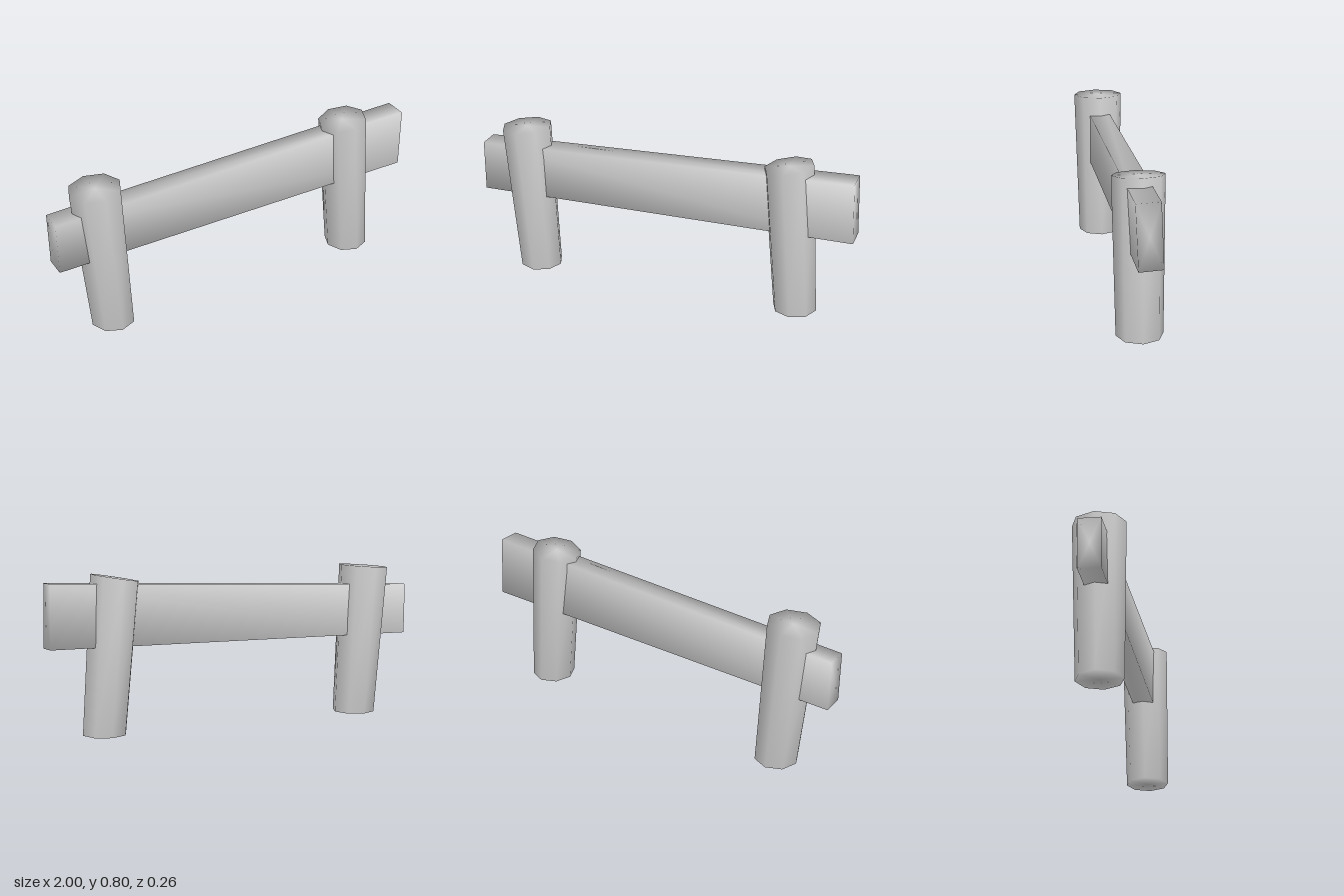
import * as THREE from 'three';

const material = new THREE.MeshStandardMaterial({ color: 0xcccccc });

// Closed, smooth-shaded solid between two rings (counter-clockwise seen from the end ring)
function loft(name, start, end) {
  const n = start.length;
  const centre = ring => [0, 1, 2].map(k => ring.reduce((s, p) => s + p[k], 0) / n);
  const points = [...start, ...end, centre(start), centre(end)];
  const index = [];
  for (let i = 0; i < n; i++) {
    const j = (i + 1) % n;
    index.push(i, j, n + j, i, n + j, n + i);
    index.push(2 * n, j, i, 2 * n + 1, n + i, n + j);
  }
  const geometry = new THREE.BufferGeometry();
  geometry.setAttribute('position', new THREE.Float32BufferAttribute(points.flat(), 3));
  geometry.setIndex(index);
  geometry.computeVertexNormals();
  const mesh = new THREE.Mesh(geometry, material);
  mesh.name = name;
  return mesh;
}

// Octagonal ring whose height slopes along x
function octagon(cx, cy, rx, rz, slope = 0) {
  return Array.from({ length: 8 }, (_, i) => {
    const a = (i * Math.PI) / 4;
    return [cx + rx * Math.cos(a), cy + slope * Math.cos(a), -rz * Math.sin(a)];
  });
}

export function createModel() {
  const group = new THREE.Group();
  group.name = 'fence';

  // Leaning posts, wider and cut at a slant on top
  group.add(loft('rightPost',
    octagon(-0.717, 0, 0.113, 0.115),
    octagon(-0.767, 0.788, 0.132, 0.132, 0.009)));
  group.add(loft('leftPost',
    octagon(0.713, 0, 0.113, 0.115),
    octagon(0.65, 0.776, 0.125, 0.127, 0.021)));

  // Crossbeam, growing taller and slightly twisted towards +x
  group.add(loft('crossbeam',
    [[-1, 0.418, 0.058], [-1, 0.418, -0.052], [-1, 0.684, -0.055], [-1, 0.68, 0.055]],
    [[1, 0.438, 0.055], [1, 0.444, -0.061], [0.99, 0.76, -0.047], [0.99, 0.755, 0.069]]));

  return group;
}
